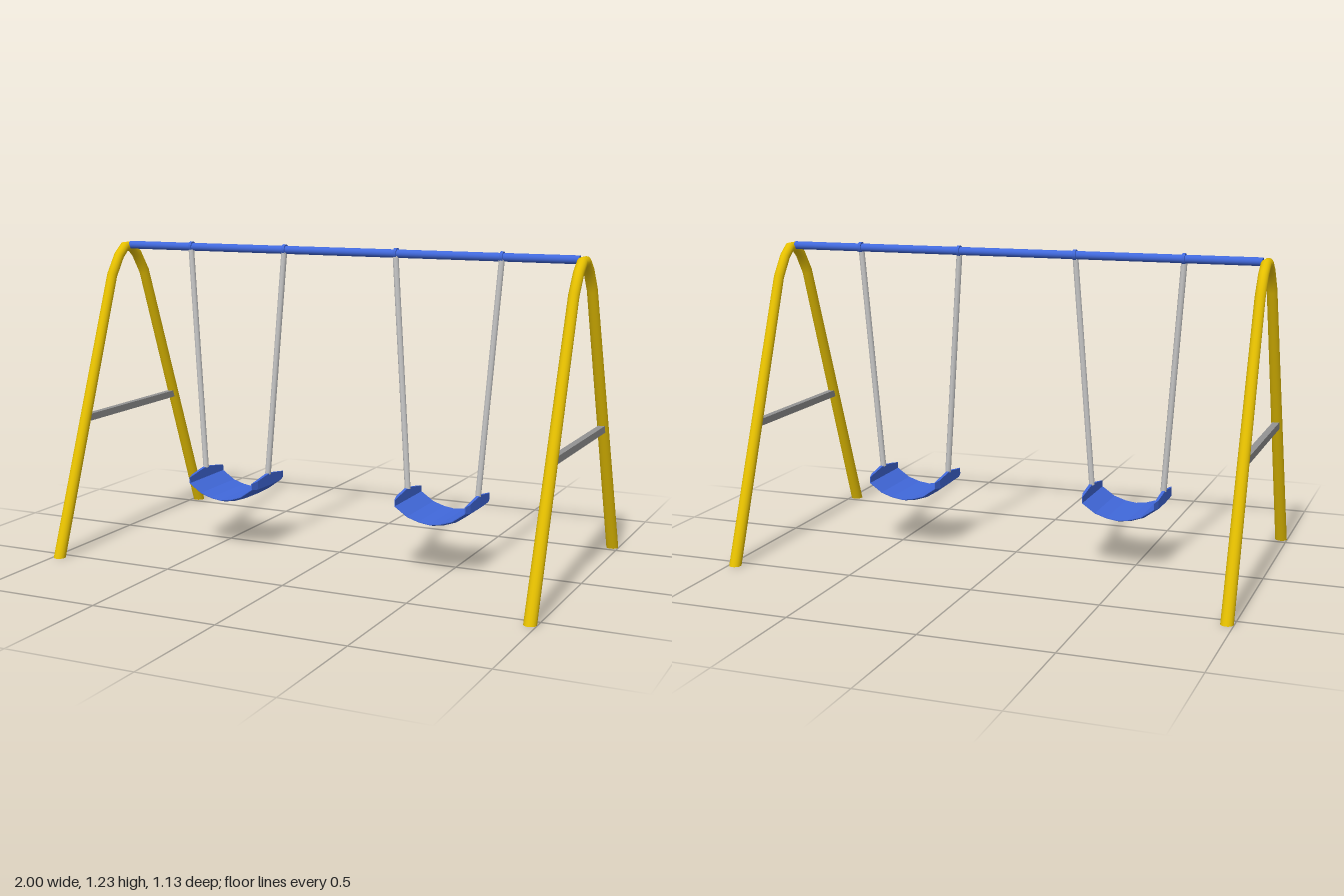
import * as THREE from 'three';

function paint(name, color) {
  const mat = new THREE.MeshStandardMaterial({ color });
  mat.name = name;
  return mat;
}
const yellow = paint('yellow paint', 0xe6c000);
const blue = paint('blue', 0x4169dc);
const grey = paint('grey metal', 0x939393);
const lightGrey = paint('light grey metal', 0xc8c8c8);

// Skin closed rings of equal length (counter-clockwise around the travel direction), capped at both ends
function loft(rings, faceted) {
  const n = rings[0].length;
  const last = rings.length - 1;
  const all = [...rings, rings[0], rings[last]]; // extra copies keep the cap edges sharp
  const index = [];
  for (let s = 0; s < last; s++) {
    for (let i = 0; i < n; i++) {
      const j = (i + 1) % n;
      const a = s * n + i, b = s * n + j;
      index.push(a, b, b + n, a, b + n, a + n);
    }
  }
  const start = (last + 1) * n, end = start + n;
  for (let i = 0; i < n / 2 - 1; i++) {
    const p = i, q = n - 1 - i, r = n - 2 - i, t = i + 1;
    index.push(start + p, start + q, start + r, start + p, start + r, start + t);
    index.push(end + p, end + r, end + q, end + p, end + t, end + r);
  }
  let geo = new THREE.BufferGeometry();
  geo.setAttribute('position', new THREE.Float32BufferAttribute(all.flat(2), 3));
  geo.setIndex(index);
  if (faceted) geo = geo.toNonIndexed();
  geo.computeVertexNormals();
  return geo;
}

function add(parent, name, geo, mat) {
  const mesh = new THREE.Mesh(geo, mat);
  mesh.name = name;
  parent.add(mesh);
  return mesh;
}

// Straight rod between two points
function rod(parent, name, from, to, radius, sides, mat) {
  const a = new THREE.Vector3(...from), b = new THREE.Vector3(...to);
  const geo = new THREE.CylinderGeometry(radius, radius, a.distanceTo(b), sides);
  const mesh = add(parent, name, geo, mat);
  mesh.position.copy(a).add(b).multiplyScalar(0.5);
  mesh.quaternion.setFromUnitVectors(new THREE.Vector3(0, 1, 0), b.sub(a).normalize());
}

// Bent A-frame tube; each joint is [outer z, outer y, inner z, inner y]
function legGeometry() {
  const half = [
    [0.565, 0, 0.517, 0],
    [0.14, 1.1, 0.101, 1.079],
    [0.082, 1.18, 0.05, 1.152],
    [0.03, 1.219, 0.018, 1.18],
  ];
  const joints = [...half, ...half.map(([a, b, c, d]) => [-a, b, -c, d]).reverse()];
  const sides = 16;
  return loft(joints.map(([zo, yo, zi, yi], k) => {
    const r = k === 0 || k === joints.length - 1 ? 0.024 : 0.02;
    return Array.from({ length: sides }, (_, i) => {
      const t = (i / sides) * Math.PI * 2;
      const c = Math.cos(t) / 2;
      return [Math.sin(t) * r, (yo + yi) / 2 + c * (yo - yi), (zo + zi) / 2 + c * (zo - zi)];
    });
  }), false);
}

// Sling seat: U profile whose underside tapers to a thin lip front and back, sides peaked in the middle
function seatGeometry() {
  const outer = [[0.154, 0.305], [0.154, 0.255], [0.096, 0.213], [0.046, 0.196], [0, 0.189]];
  const inner = [[0.141, 0.305], [0.141, 0.261], [0.09, 0.226], [0.043, 0.211], [0, 0.205]];
  const full = (p) => [...p.map(([x, y]) => [-x, y]), ...p.slice(0, -1).reverse()];
  const stations = [[-0.135, 0.8], [-0.1, 0.15], [0, 0], [0.1, 0.15], [0.135, 0.8]];
  return loft(stations.map(([z, taper]) => {
    const underside = outer.map(([x, y], i) => [
      x + (inner[i][0] - x) * taper,
      y + (inner[i][1] - y) * taper,
    ]);
    const drop = 0.02 * Math.abs(z) / 0.135;
    return [...full(underside), ...full(inner).reverse()]
      .map(([x, y]) => [x, y > 0.3 ? y - drop : y, z + 0.03]);
  }), true);
}

export function createModel() {
  const model = new THREE.Group();
  model.name = 'swingSet';

  // End frames with a brace between the legs
  const legs = legGeometry();
  for (const side of [-1, 1]) {
    const frame = new THREE.Group();
    frame.name = side > 0 ? 'leftFrame' : 'rightFrame';
    frame.position.x = side * 0.975;
    add(frame, 'bentLegs', legs, yellow);
    add(frame, 'brace', new THREE.BoxGeometry(0.026, 0.028, 0.65), grey).position.y = 0.53;
    model.add(frame);
  }

  // Top bar
  rod(model, 'topBar', [-0.96, 1.207, 0], [0.96, 1.207, 0], 0.016, 16, blue);

  // Two swings: seat, hangers and collars around the bar
  const seat = seatGeometry();
  for (const side of [-1, 1]) {
    const swing = new THREE.Group();
    swing.name = side > 0 ? 'leftSwing' : 'rightSwing';
    swing.position.x = side * 0.452;
    add(swing, 'seat', seat, blue);
    for (const s of [-1, 1]) {
      rod(swing, 'hanger', [s * 0.213, 1.2, 0.005], [s * 0.145, 0.3, 0.03], 0.012, 8, lightGrey);
      rod(swing, 'collar', [s * 0.213 - 0.006, 1.208, 0], [s * 0.213 + 0.006, 1.208, 0], 0.021, 12, blue);
    }
    model.add(swing);
  }
  return model;
}
